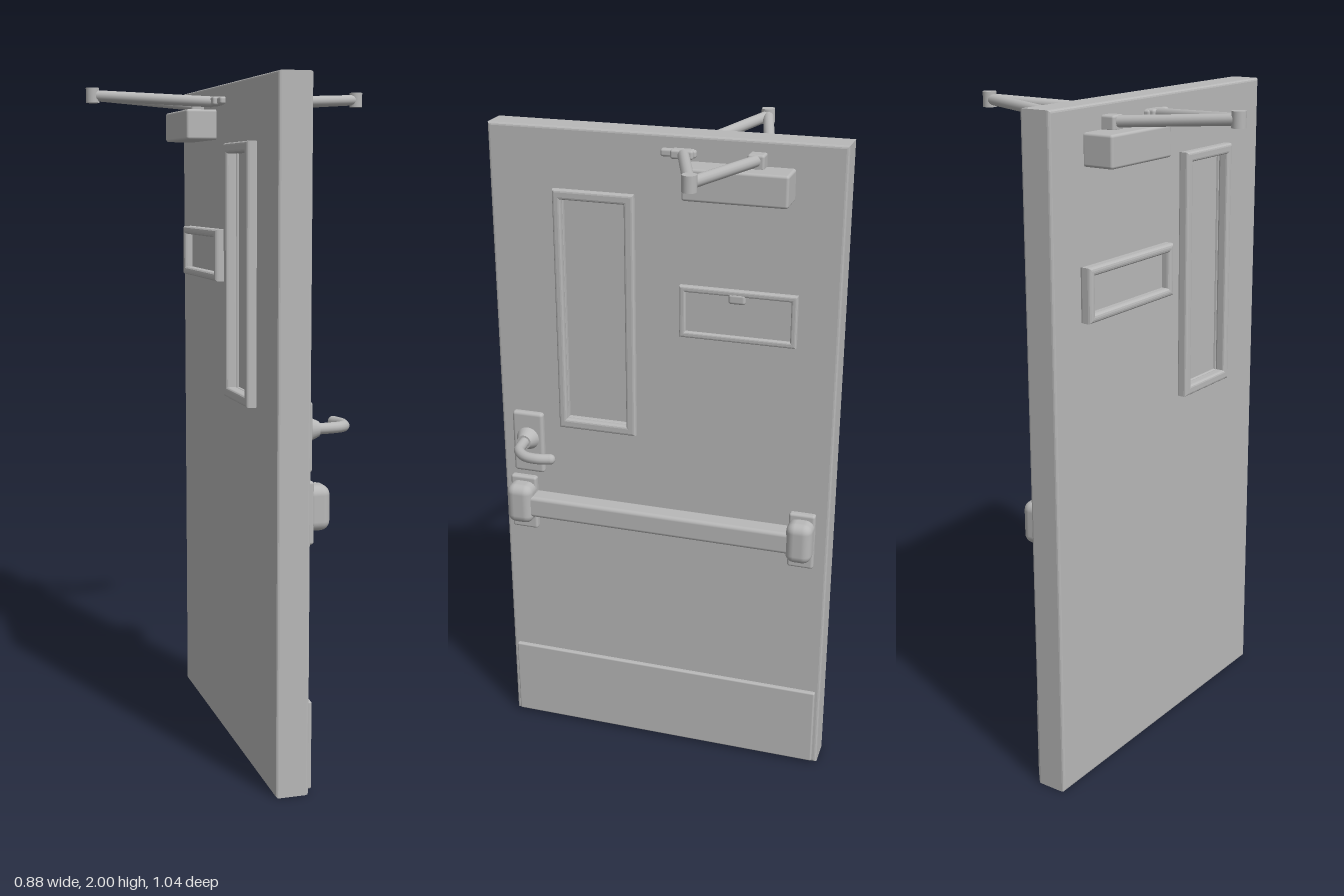
import * as THREE from 'three';
import { RoundedBoxGeometry } from 'three/addons/geometries/RoundedBoxGeometry.js';

const grey = new THREE.MeshStandardMaterial({ color: 0xb8b8b8 });
grey.name = 'painted steel grey';

export function createModel() {
  const door = new THREE.Group();
  door.name = 'door';

  function add(name, geometry, parent = door) {
    const mesh = new THREE.Mesh(geometry, grey);
    mesh.name = name;
    parent.add(mesh);
    return mesh;
  }

  // Box given by its limits on each axis, with softened edges
  function block(name, [x0, x1], [y0, y1], [z0, z1], r = 0.008, parent = door) {
    const mesh = add(name, new RoundedBoxGeometry(x1 - x0, y1 - y0, z1 - z0, 3, r), parent);
    mesh.position.set((x0 + x1) / 2, (y0 + y1) / 2, (z0 + z1) / 2);
    return mesh;
  }

  // Panel lying in the y-z plane with a rectangular opening
  function panel(name, [x0, x1], outer, hole, bevel) {
    const rect = (path, [y0, y1, z0, z1]) => {
      path.moveTo(-z1, y0);
      path.lineTo(-z0, y0);
      path.lineTo(-z0, y1);
      path.lineTo(-z1, y1);
      path.closePath();
      return path;
    };
    const shape = rect(new THREE.Shape(), outer);
    shape.holes.push(rect(new THREE.Path(), hole));
    const geo = new THREE.ExtrudeGeometry(shape, {
      depth: x1 - x0 - 2 * bevel, bevelEnabled: true, bevelThickness: bevel,
      bevelSize: bevel, bevelOffset: -bevel, bevelSegments: 3,
    });
    geo.translate(0, 0, x0 + bevel);
    geo.rotateY(Math.PI / 2);
    return add(name, geo);
  }

  // Round bar along a smooth path, with rounded ends
  function rod(name, points, r, parent = door) {
    const pts = points.map((p) => new THREE.Vector3(...p));
    const curve = pts.length === 2 ? new THREE.LineCurve3(...pts) : new THREE.CatmullRomCurve3(pts);
    add(name, new THREE.TubeGeometry(curve, pts.length === 2 ? 1 : 24, r, 14), parent);
    for (const p of [pts[0], pts[pts.length - 1]]) {
      add(name + 'End', new THREE.SphereGeometry(r, 14, 10), parent).position.copy(p);
    }
  }

  // Door leaf with the window opening
  const opening = [1.115, 1.795, 0.11, 0.3];
  panel('doorLeaf', [-0.06, 0.037], [0, 2, -0.52, 0.52], opening, 0.008);
  block('windowPane', [-0.05, 0.02], [1.1, 1.81], [0.1, 0.31], 0.002);
  panel('windowFrameRight', [-0.09, -0.055], [1.085, 1.825, 0.08, 0.325], opening, 0.008);
  panel('windowFrameLeft', [0.03, 0.055], [1.085, 1.825, 0.08, 0.325], opening, 0.008);

  // Sign holders, one on each face
  panel('signFrameLeft', [0.03, 0.054], [1.42, 1.575, -0.4, -0.055], [1.438, 1.557, -0.382, -0.073], 0.006);
  block('signPlateLeft', [0.03, 0.042], [1.43, 1.565], [-0.39, -0.065], 0.002);
  block('signClip', [0.036, 0.056], [1.535, 1.565], [-0.25, -0.2], 0.008);
  panel('signFrameRight', [-0.094, -0.055], [1.42, 1.575, -0.4, 0.005], [1.445, 1.55, -0.375, -0.02], 0.01);
  block('signPlateRight', [-0.068, -0.055], [1.43, 1.565], [-0.39, -0.005], 0.002);

  // Kick plate
  block('kickPlate', [0.03, 0.05], [0.01, 0.27], [-0.505, 0.505], 0.005);

  // Lever handle on its rose plate
  const lever = new THREE.Group();
  lever.name = 'leverHandle';
  door.add(lever);
  block('leverPlate', [0.03, 0.056], [0.92, 1.12], [0.38, 0.48], 0.01, lever);
  const collar = add('leverCollar', new THREE.CylinderGeometry(0.022, 0.038, 0.035, 24), lever);
  collar.rotation.z = -Math.PI / 2;
  collar.position.set(0.07, 1.035, 0.43);
  rod('leverGrip', [
    [0.06, 1.035, 0.43], [0.11, 1.035, 0.428], [0.15, 1.035, 0.42],
    [0.178, 1.033, 0.39], [0.184, 1.033, 0.35], [0.175, 1.033, 0.31],
  ], 0.016, lever);
  const keyhole = add('keyCylinder', new THREE.CylinderGeometry(0.016, 0.016, 0.01, 20), lever);
  keyhole.rotation.z = Math.PI / 2;
  keyhole.position.set(0.058, 0.965, 0.43);

  // Push bar with an end housing at each side
  const bar = new THREE.Group();
  bar.name = 'pushBar';
  door.add(bar);
  block('barRail', [0.03, 0.095], [0.78, 0.85], [-0.45, 0.46], 0.012, bar);
  for (const [z0, z1] of [[-0.48, -0.4], [0.41, 0.495]]) {
    block('barBasePlate', [0.03, 0.056], [0.72, 0.9], [z0, z1], 0.008, bar);
    block('barHousing', [0.03, 0.108], [0.755, 0.885], [z0, z1], 0.028, bar);
  }

  // Closer body and folding arms on both faces
  for (const [side, s, face, out, z1] of [['Left', 1, 0.03, 0.125, -0.08], ['Right', -1, 0.055, 0.153, -0.1]]) {
    const closer = new THREE.Group();
    closer.name = 'closer' + side;
    door.add(closer);
    const span = (a, b) => (s > 0 ? [a, b] : [-b, -a]);
    block('closerBody', span(face, out), [1.84, 1.93], [-0.378, z1], 0.008, closer);
    const start = face + 0.03;
    const tip = [s * 0.42, 1.97, -0.19];
    rod('rearArm', [[s * start, 1.95, -0.275], tip], 0.016, closer);
    rod('frontArm', [[s * start, 1.95, -0.068], tip], 0.016, closer);
    // Feet and elbow joint
    block('rearArmFoot', span(face, face + 0.045), [1.925, 1.968], [-0.298, -0.25], 0.007, closer);
    block('frontArmFoot', span(face, face + 0.035), [1.938, 1.964], [-0.095, -0.03], 0.007, closer);
    block('armBracket', span(face, face + 0.022), [1.94, 1.962], [-0.1, 0.002], 0.007, closer);
    const elbow = add('armElbow', new THREE.CylinderGeometry(0.02, 0.02, 0.044, 20), closer);
    elbow.position.set(...tip);
  }

  return door;
}
